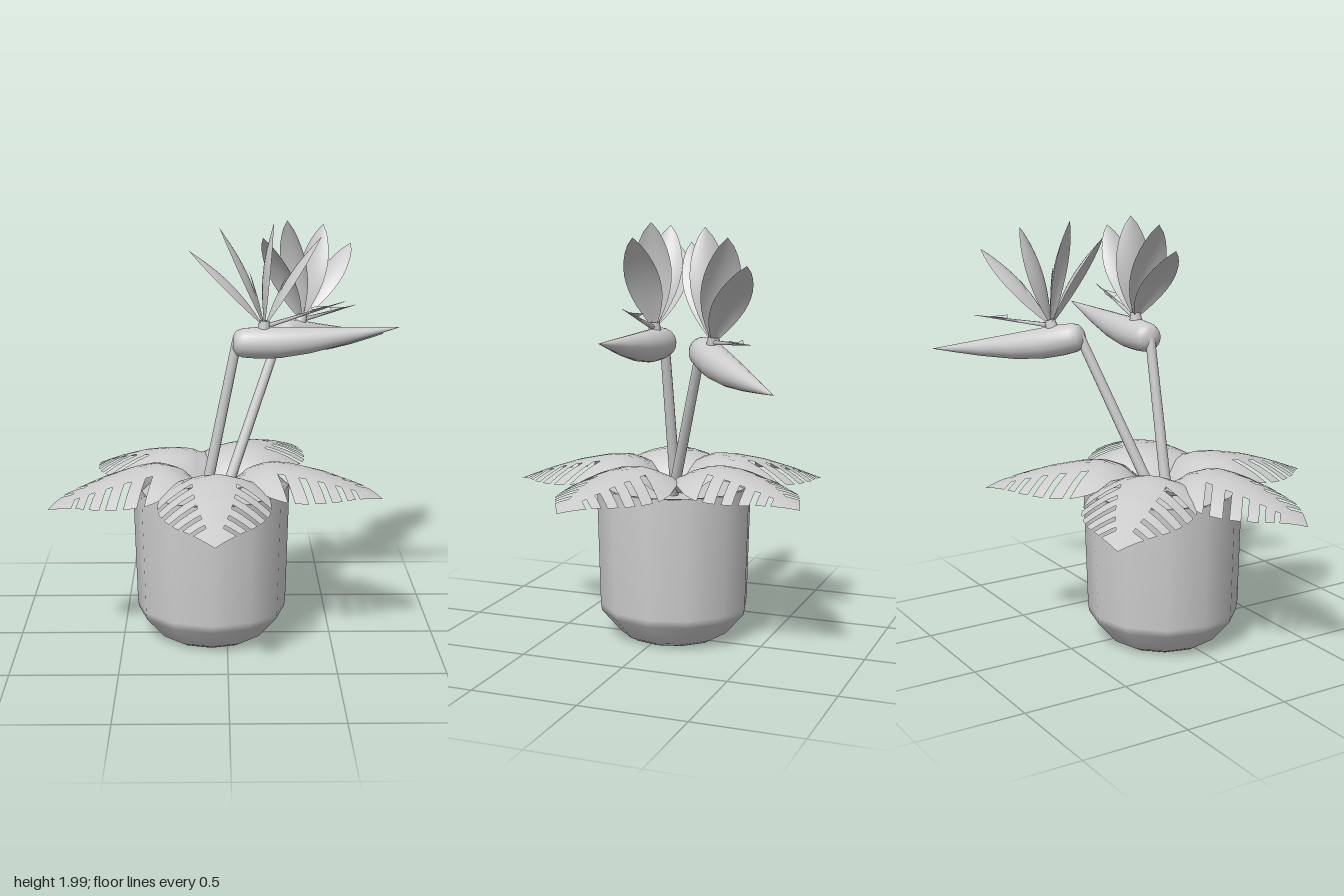
import * as THREE from 'three';

const material = new THREE.MeshStandardMaterial({ color: 0xcccccc, side: THREE.DoubleSide });
const UP = new THREE.Vector3(0, 1, 0);

function add(parent, name, geometry) {
  const mesh = new THREE.Mesh(geometry, material);
  mesh.name = name;
  parent.add(mesh);
  return mesh;
}

// Linear interpolation through [position, value] pairs
function sample(pairs, x) {
  for (let i = 1; i < pairs.length; i++) {
    const [x0, y0] = pairs[i - 1], [x1, y1] = pairs[i];
    if (x <= x1) return y0 + (y1 - y0) * Math.max(0, (x - x0) / (x1 - x0));
  }
  return pairs[pairs.length - 1][1];
}

// Surface over rows x columns; cells for which skip() is true are left open
function sheet(rows, cols, point, skip = () => false) {
  const positions = [], index = [], n = cols.length;
  rows.forEach((r) => cols.forEach((c) => positions.push(...point(r, c))));
  for (let i = 0; i < rows.length - 1; i++) {
    for (let j = 0; j < n - 1; j++) {
      if (skip((rows[i] + rows[i + 1]) / 2, (cols[j] + cols[j + 1]) / 2)) continue;
      const a = i * n + j, b = a + n;
      index.push(a, b, a + 1, a + 1, b, b + 1);
    }
  }
  const g = new THREE.BufferGeometry();
  g.setAttribute('position', new THREE.Float32BufferAttribute(positions, 3));
  g.setIndex(index);
  g.computeVertexNormals();
  return g;
}

function rod(parent, name, from, to, r0, r1, sides = 12) {
  const a = new THREE.Vector3(...from), b = new THREE.Vector3(...to);
  const dir = b.clone().sub(a);
  const mesh = add(parent, name, new THREE.CylinderGeometry(r1, r0, dir.length(), sides));
  mesh.position.copy(a).add(b).multiplyScalar(0.5);
  mesh.quaternion.setFromUnitVectors(UP, dir.normalize());
  return mesh;
}

// Split leaf along +z: rows follow the midrib, lobes sweep towards the tip
const LEAF_WIDTH = [[0.05, 0.1], [0.12, 0.19], [0.2, 0.255], [0.27, 0.26], [0.36, 0.245],
  [0.46, 0.21], [0.55, 0.17], [0.69, 0.085], [0.82, 0]];
const LEAF_HEIGHT = [[0.05, 0.71], [0.1, 0.78], [0.16, 0.835], [0.25, 0.868], [0.35, 0.862],
  [0.5, 0.832], [0.65, 0.785], [0.82, 0.72]];
const SLOTS = [[0.28, 0.315], [0.385, 0.42], [0.48, 0.512], [0.57, 0.6], [0.65, 0.675]];

function leafGeometry(tipY) {
  const rows = [0.05, 0.08, 0.12, 0.16, 0.2, 0.24, ...SLOTS.flat(), 0.35, 0.45, 0.54, 0.625, 0.72, 0.77, 0.82];
  rows.sort((a, b) => a - b);
  const cols = [-1, -0.8, -0.6, -0.4, -0.2, 0, 0.2, 0.4, 0.6, 0.8, 1];
  return sheet(rows, cols, (s, t) => {
    const w = t * sample(LEAF_WIDTH, s);
    const along = s + 0.6 * Math.abs(w) * Math.min(1, s / 0.2);
    const droop = (tipY - 0.72) * Math.max(0, (along - 0.25) / 0.57);
    return [w, sample(LEAF_HEIGHT, along) + droop - 1.3 * w * w, along];
  }, (s, t) => Math.abs(t) > 0.4 && SLOTS.some(([a, b]) => s > a && s < b));
}

// Cupped oval petal standing on the origin, broad in z
function petalGeometry(length, halfWidth, cup) {
  const rows = Array.from({ length: 13 }, (_, i) => i / 12);
  const cols = [-1, -0.75, -0.5, -0.25, 0, 0.25, 0.5, 0.75, 1];
  return sheet(rows, cols, (s, t) => {
    const w = halfWidth * Math.pow(Math.sin(Math.PI * Math.pow(s, 1.1)), 0.75) || 0;
    const bulge = cup * Math.sin(Math.PI * s) * (1 - t * t);
    return [bulge, s * length, t * w];
  });
}

// Flower head whose beak points along +x from the stem top
function flower() {
  const group = new THREE.Group();
  group.name = 'flower';

  // Beak: lathe laid on its side, shifted so that its top runs straight
  const profile = [[0, -0.022], [0.035, -0.016], [0.058, 0], [0.069, 0.03], [0.074, 0.1], [0.073, 0.2],
    [0.062, 0.34], [0.04, 0.51], [0.017, 0.66], [0, 0.765]];
  const beak = new THREE.LatheGeometry(profile.map(([r, x]) => new THREE.Vector2(r, x)), 20);
  beak.rotateZ(-Math.PI / 2);
  const p = beak.attributes.position;
  const radii = profile.map(([r, x]) => [x, r]);
  for (let i = 0; i < p.count; i++) {
    const x = p.getX(i);
    if (x > 0.1) p.setY(i, p.getY(i) + 0.074 - sample(radii, x));
  }
  add(group, 'beak', beak);
  rod(group, 'collar', [0.125, 0.03, 0], [0.13, 0.105, 0], 0.035, 0.024);

  // Fan of petals: tip offset from the collar, half width, cup
  const fan = [[-0.35, 0.355, 0.085, 0.03], [-0.21, 0.46, 0.09, 0.03], [0.04, 0.48, 0.092, -0.03],
    [0.26, 0.42, 0.085, -0.03], [-0.075, 0.27, 0.015, 0.006], [0.1, 0.24, 0.015, -0.006]];
  fan.forEach(([x, y, w, cup]) => {
    const petal = add(group, w > 0.05 ? 'petal' : 'innerSepal', petalGeometry(Math.hypot(x, y), w, cup));
    petal.position.set(0.13, 0.075, 0);
    petal.rotation.z = -Math.atan2(x, y);
  });

  // Barbed tongue
  rod(group, 'tongue', [0.14, 0.08, 0], [0.505, 0.195, 0], 0.012, 0.001, 6);
  for (const side of [-1, 1]) {
    const barb = sheet([0, 1], [0, 1], (s, t) => [0.34 + 0.1 * s + 0.01 * t * (1 - s), 0.143 + 0.032 * s + 0.02 * t * (1 - s), side * 0.035 * t * (1 - s)]);
    add(group, 'tongueBarb', barb);
  }
  return group;
}

export function createModel() {
  const model = new THREE.Group();
  model.name = 'pottedPlant';
  const cx = -0.075, cz = -0.035;

  // Pot with chamfered foot, open top and soil
  const potProfile = [[0, 0], [0.23, 0], [0.23, 0.002], [0.265, 0.02], [0.355, 0.125], [0.36, 0.16],
    [0.375, 0.74], [0.35, 0.74], [0.345, 0.68]];
  const pot = add(model, 'pot', new THREE.LatheGeometry(potProfile.map((q) => new THREE.Vector2(...q)), 12));
  pot.position.set(cx, 0, cz);
  const soil = add(model, 'soil', new THREE.CylinderGeometry(0.348, 0.348, 0.02, 12));
  soil.position.set(cx, 0.69, cz);

  // Ring of leaves: heading in the ground plane, tip height
  const leaves = [[0, 0.705], [72, 0.745], [152.5, 0.755], [225, 0.695], [290, 0.705]];
  leaves.forEach(([degrees, tipY]) => {
    const leaf = add(model, 'leaf', leafGeometry(tipY));
    leaf.position.set(-0.06, 0, -0.04);
    leaf.rotation.y = THREE.MathUtils.degToRad(degrees);
  });

  // Stems and flower heads
  const plants = [
    { foot: [-0.105, 0.69, -0.03], top: [0.045, 1.435, -0.03], yaw: 0, pitch: 0 },
    { foot: [-0.01, 0.69, -0.05], top: [0.26, 1.435, -0.285], yaw: 0.73, pitch: -0.225 },
  ];
  plants.forEach(({ foot, top, yaw, pitch }) => {
    rod(model, 'stem', foot, top, 0.026, 0.023);
    const head = flower();
    head.position.set(...top);
    head.rotation.set(0, yaw, pitch);
    model.add(head);
  });
  return model;
}
